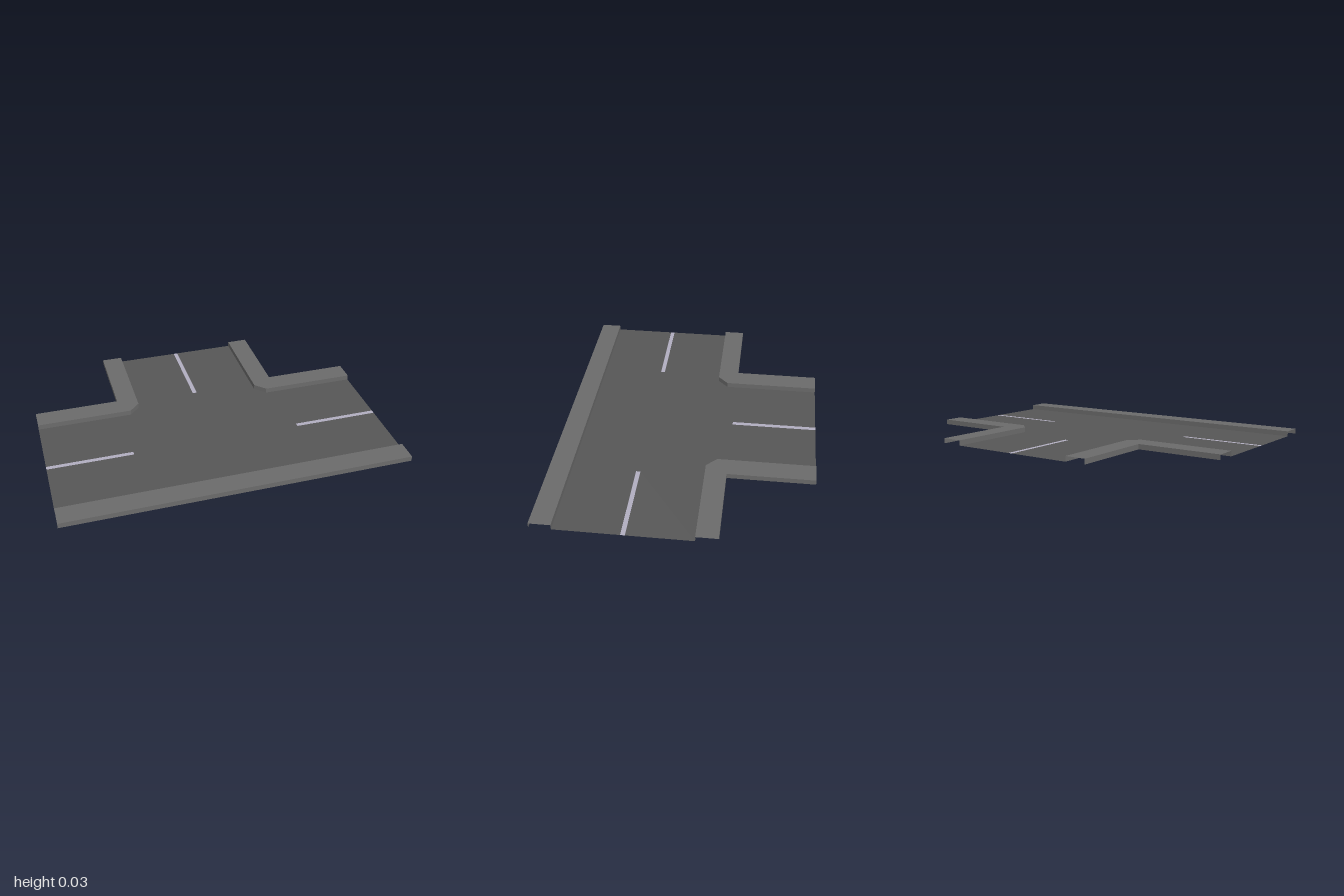
import * as THREE from 'three';

const TOP = 0.03;      // kerb height above the road
const HALF = 0.378;    // half the carriageway width
const MID = 0.25;      // z of the main road's centre line
const CUT = 0.06;      // chamfer on the inner kerb corners
const LINE = 0.0125;   // half the width of a painted line

const material = (color) =>
  new THREE.MeshStandardMaterial({ color, flatShading: true, side: THREE.DoubleSide });

function addMesh(group, name, geometry, mat) {
  const mesh = new THREE.Mesh(geometry, mat);
  mesh.name = name;
  group.add(mesh);
}

// Flat ground panel from [x, z] corners
function panel(corners) {
  const shape = new THREE.Shape(corners.map(([x, z]) => new THREE.Vector2(x, -z)));
  return new THREE.ShapeGeometry(shape).rotateX(-Math.PI / 2);
}

const rectangle = (x0, x1, z0, z1) => panel([[x0, z1], [x1, z1], [x1, z0], [x0, z0]]);

// Hollow kerb: outer wall, top and inner wall between two [x, z] paths,
// with the outer path on the right-hand side of travel
function kerb(outer, inner) {
  const rows = [[outer, 0], [outer, TOP], [inner, TOP], [inner, 0]]
    .map(([path, y]) => path.map(([x, z]) => new THREE.Vector3(x, y, z)));
  const points = [];
  for (let r = 0; r < 3; r++) {
    for (let i = 0; i < outer.length - 1; i++) {
      const a = rows[r][i], b = rows[r][i + 1];
      const c = rows[r + 1][i + 1], d = rows[r + 1][i];
      // skip triangles that collapse at a shared corner
      if (!a.equals(b)) points.push(a, b, c);
      if (!c.equals(d)) points.push(a, c, d);
    }
  }
  const geometry = new THREE.BufferGeometry().setFromPoints(points);
  geometry.computeVertexNormals();
  return geometry;
}

export function createModel() {
  const group = new THREE.Group();
  group.name = 'tJunctionRoad';
  const asphalt = material(0x575757);
  const concrete = material(0x6b6b6b);
  const paint = material(0xb2aec0);

  const back = MID - HALF, front = MID + HALF;
  const mirror = (path) => path.map(([x, z]) => [-x, z]).reverse();

  // Road surface, notched where the painted lines are set in
  const rightHalf = [
    [1, front], [1, MID + LINE], [0.5, MID + LINE], [0.5, MID - LINE], [1, MID - LINE],
    [1, back], [HALF + CUT, back], [HALF, back - CUT], [HALF, -0.75],
    [LINE, -0.75], [LINE, -0.25],
  ];
  addMesh(group, 'roadSurface', panel([...rightHalf, ...mirror(rightHalf)]), asphalt);

  // Painted centre lines, flush with the road
  addMesh(group, 'leftCentreLine', rectangle(0.5, 1, MID - LINE, MID + LINE), paint);
  addMesh(group, 'rightCentreLine', rectangle(-1, -0.5, MID - LINE, MID + LINE), paint);
  addMesh(group, 'sideRoadCentreLine', rectangle(-LINE, LINE, -0.75, -0.25), paint);

  // Straight kerb along the front
  addMesh(group, 'frontKerb', kerb([[-1, 0.75], [1, 0.75]], [[-1, front], [1, front]]), concrete);

  // Corner kerbs beside the side road
  const outer = [[1, -0.25], [0.5, -0.25], [0.5, -0.25], [0.5, -0.75]];
  const inner = [[1, back], [HALF + CUT, back], [HALF, back - CUT], [HALF, -0.75]];
  addMesh(group, 'leftCornerKerb', kerb(outer, inner), concrete);
  addMesh(group, 'rightCornerKerb', kerb(mirror(outer), mirror(inner)), concrete);

  return group;
}
